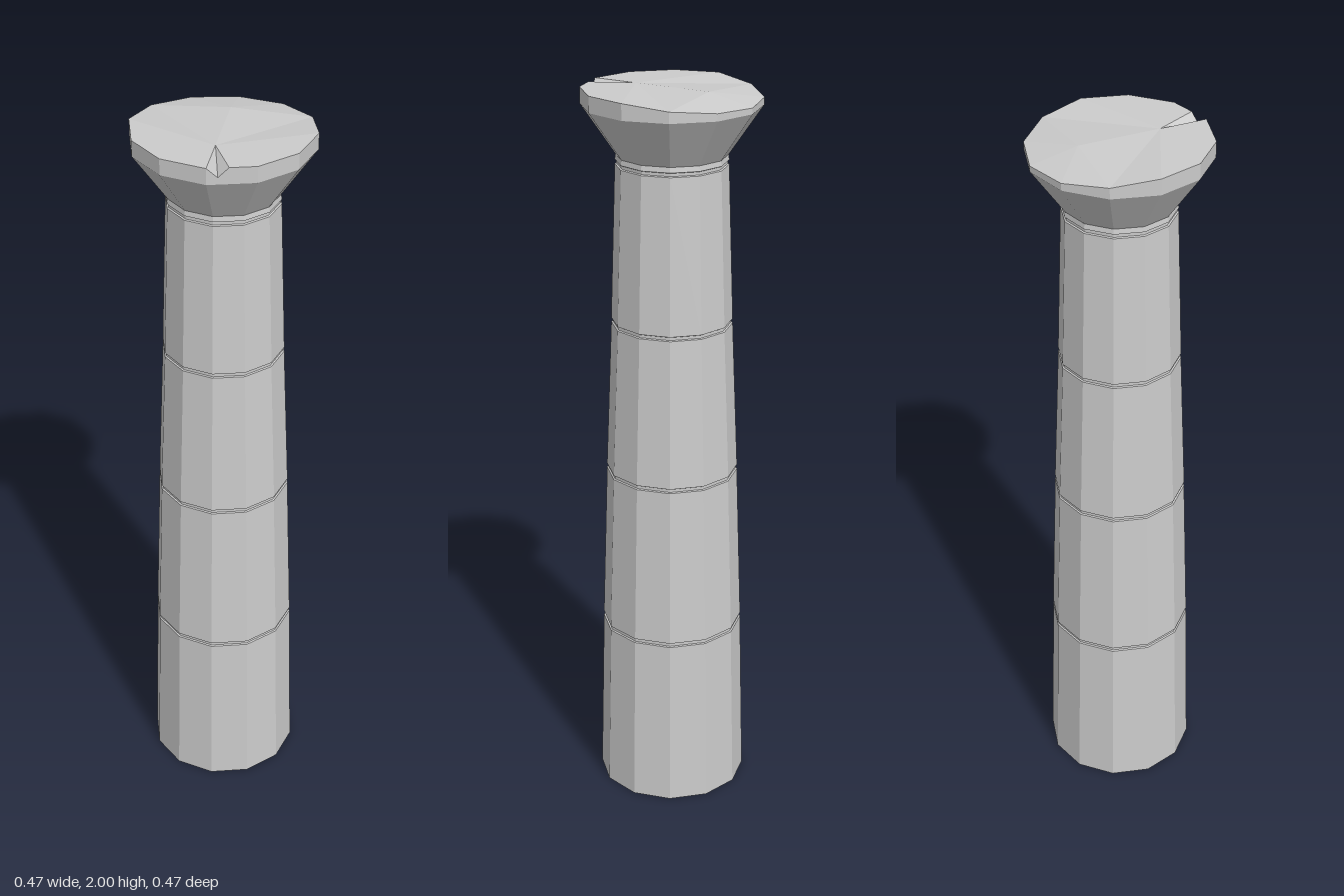
import * as THREE from 'three';

const SIDES = 12;
const stone = new THREE.MeshStandardMaterial({ color: 0xcccccc, flatShading: true, side: THREE.DoubleSide });

function addMesh(group, name, geometry) {
  const mesh = new THREE.Mesh(geometry, stone);
  mesh.name = name;
  group.add(mesh);
}

// Twelve-sided turned surface from [radius, height] pairs
function turned(profile) {
  return new THREE.LatheGeometry(profile.map(([r, y]) => new THREE.Vector2(r, y)), SIDES);
}

function fromTriangles(triangles) {
  const geometry = new THREE.BufferGeometry().setFromPoints(triangles.flat());
  geometry.computeVertexNormals();
  return geometry;
}

export function createModel() {
  const column = new THREE.Group();
  column.name = 'column';

  // Tapered shaft, with a fine groove at every drum joint
  const joints = [[0.195, 0.49], [0.18, 0.95], [0.163, 1.375], [0.149, 1.807]];
  const shaft = [[0.207, 0]];
  for (const [r, y] of joints) {
    shaft.push([r, y - 0.006], [r - 0.004, y - 0.004], [r - 0.004, y + 0.004], [r, y + 0.006]);
  }
  shaft.push([0.147, 1.827]);
  addMesh(column, 'shaft', turned(shaft));

  // Flaring capital
  const radius = 0.237, rimBase = 1.957, top = 2;
  addMesh(column, 'capitalFlare', turned([[0.147, 1.827], [radius, rimBase]]));

  // Upper rim: level at the front, worn down towards the back
  const rim = [];
  for (let i = 0; i < SIDES; i++) {
    const a = (i / SIDES) * Math.PI * 2;
    const z = radius * Math.cos(a);
    rim.push(new THREE.Vector3(radius * Math.sin(a), top + 0.115 * Math.min(0, z), z));
  }
  // V-shaped chip in the front edge
  const chipLow = rim[0].clone().lerp(rim[1], 0.225).setY(1.975);
  const chipEnd = rim[0].clone().lerp(rim[1], 0.447);
  const edge = [rim[0], chipLow, chipEnd, ...rim.slice(1)];

  // Rim wall
  const wall = [];
  edge.forEach((p, i) => {
    const q = edge[(i + 1) % edge.length];
    const p0 = p.clone().setY(rimBase), q0 = q.clone().setY(rimBase);
    wall.push([p0, q0, q], [p0, q, p]);
  });
  addMesh(column, 'capitalRim', fromTriangles(wall));

  // Top face: a fan around the chip's point and one around the worn back crease
  const chipPoint = new THREE.Vector3(0, top, 0.11);
  const crease = new THREE.Vector3(0, top, -0.11);
  const front1 = [chipEnd, ...rim.slice(1, 5), crease];
  const front2 = [crease, ...rim.slice(8), rim[0]];
  const fan = (centre, pts) => pts.slice(1).map((p, i) => [centre, pts[i], p]);
  addMesh(column, 'capitalTop', fromTriangles([
    ...fan(chipPoint, front1),
    ...fan(chipPoint, front2),
    ...fan(crease, rim.slice(4, 9)),
  ]));
  addMesh(column, 'chip', fromTriangles(fan(chipPoint, [rim[0], chipLow, chipEnd])));

  return column;
}
